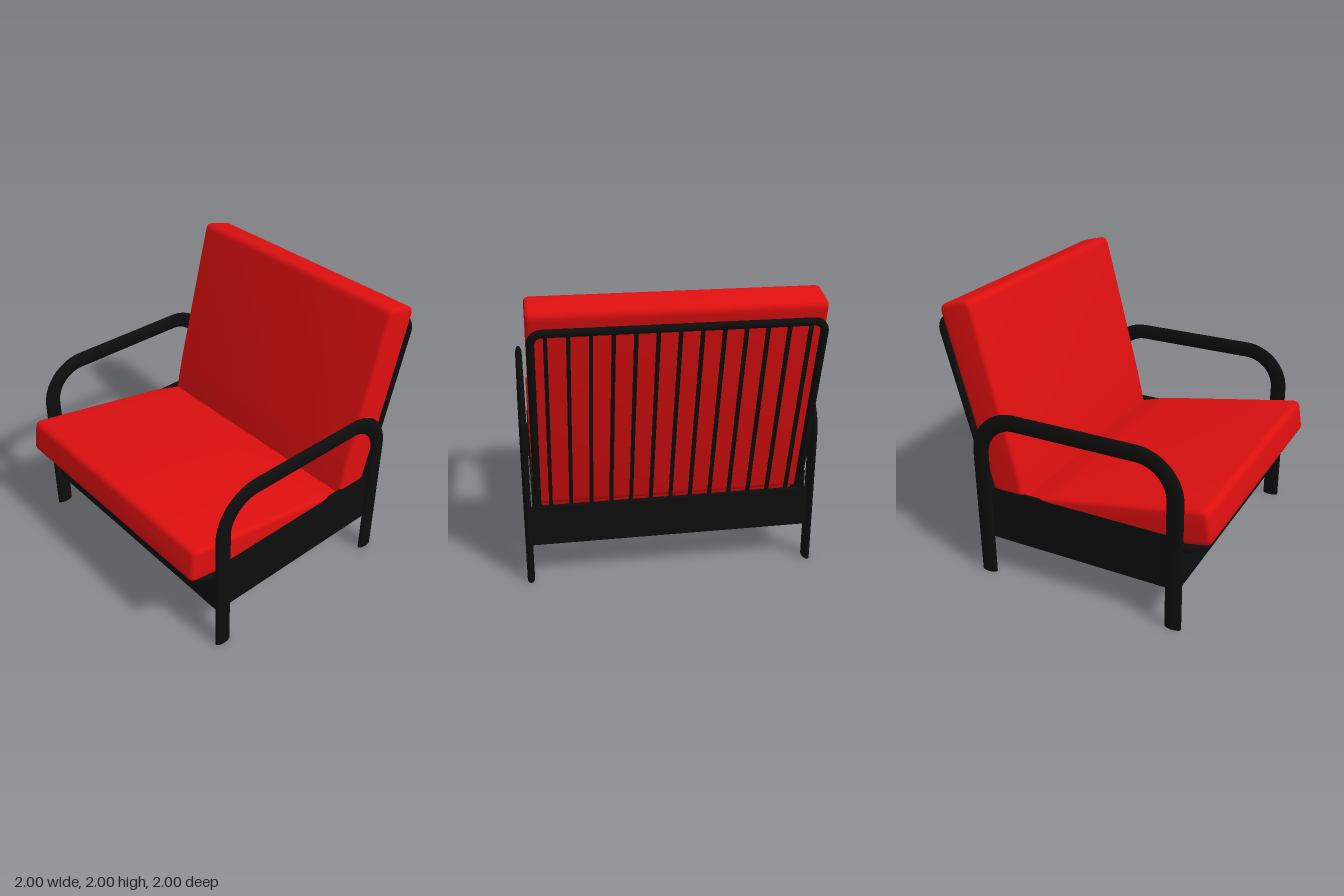
import * as THREE from 'three';
import { toCreasedNormals } from 'three/addons/utils/BufferGeometryUtils.js';

const red = new THREE.MeshStandardMaterial({ color: 0xdd0f0f });
const black = new THREE.MeshStandardMaterial({ color: 0x0d0d0d });
const V = (x, y, z) => new THREE.Vector3(x, y, z);

function add(parent, name, geometry, material, x = 0, y = 0, z = 0) {
  const mesh = new THREE.Mesh(geometry, material);
  mesh.name = name;
  mesh.position.set(x, y, z);
  parent.add(mesh);
  return mesh;
}

// Straight runs joined by round right-angle corners
function roundedPath(points, radius, closed) {
  const path = new THREE.CurvePath();
  const n = points.length;
  const toward = (p, q, d) => p.clone().add(q.clone().sub(p).setLength(d));
  let last = closed ? toward(points[0], points[1], radius) : points[0];
  const corners = closed ? [...points.keys()].map(i => (i + 1) % n) : [...points.keys()].slice(1, -1);
  for (const i of corners) {
    const p = points[i], before = points[(i + n - 1) % n], after = points[(i + 1) % n];
    const a = toward(p, before, radius), b = toward(p, after, radius);
    path.add(new THREE.LineCurve3(last, a));
    path.add(new THREE.CubicBezierCurve3(a, toward(p, before, radius * 0.448), toward(p, after, radius * 0.448), b));
    last = b;
  }
  if (!closed) path.add(new THREE.LineCurve3(last, points[n - 1]));
  return path;
}

// Cushion: side profile of [z, y] corners, softened and extruded across x
function cushionGeometry(profile, width, radius) {
  const pts = profile.map(([z, y]) => new THREE.Vector2(-z, y));
  const n = pts.length;
  const shape = new THREE.Shape();
  pts.forEach((p, i) => {
    const before = pts[(i + n - 1) % n], after = pts[(i + 1) % n];
    const a = p.clone().add(before.clone().sub(p).setLength(radius));
    const b = p.clone().add(after.clone().sub(p).setLength(radius));
    if (i === 0) shape.moveTo(a.x, a.y);
    else shape.lineTo(a.x, a.y);
    shape.quadraticCurveTo(p.x, p.y, b.x, b.y);
  });
  shape.closePath();
  const bevel = 0.03;
  const geometry = new THREE.ExtrudeGeometry(shape, {
    depth: width - 2 * bevel, bevelEnabled: true, bevelSize: bevel, bevelThickness: bevel,
    bevelOffset: -bevel, bevelSegments: 4, curveSegments: 6,
  });
  geometry.translate(0, 0, -(width / 2 - bevel));
  geometry.rotateY(Math.PI / 2);
  return toCreasedNormals(geometry, 0.6);
}

// Tubular frame with slats, hanging down local -y from its outer bar
function slattedPanel(name, length) {
  const panel = new THREE.Group();
  panel.name = name;
  const w = 0.905;
  const loop = roundedPath([V(-w, -length, 0), V(w, -length, 0), V(w, 0, 0), V(-w, 0, 0)], 0.07, true);
  add(panel, 'frameTube', new THREE.TubeGeometry(loop, 280, 0.026, 10, true), black);
  for (let i = -6; i <= 6; i++) {
    add(panel, 'slat', new THREE.BoxGeometry(0.024, length, 0.02), black, i * 0.136, -length / 2, 0);
  }
  return panel;
}

export function createModel() {
  const chair = new THREE.Group();
  chair.name = 'armchair';

  // Bent oval arms that also form the legs
  const armPath = roundedPath([V(0, 0, 0.77), V(0, 1.23, 0.77), V(0, 1.23, -0.68), V(0, 0, -0.68)], 0.28, false);
  const flatten = 0.025 / 0.06;
  for (const side of [-1, 1]) {
    const arm = new THREE.Group();
    arm.name = side > 0 ? 'leftArm' : 'rightArm';
    arm.position.x = side * 0.975;
    chair.add(arm);
    add(arm, 'armTube', new THREE.TubeGeometry(armPath, 180, 0.06, 20).scale(flatten, 1, 1), black);
    for (const z of [0.77, -0.68]) {
      add(arm, 'foot', new THREE.CircleGeometry(0.06, 20).rotateX(Math.PI / 2).scale(flatten, 1, 1), black, 0, 0, z);
    }
    add(chair, 'sideRail', new THREE.BoxGeometry(0.024, 0.4, 1.45), black, side * 0.925, 0.47, 0.045);
  }

  // Front and back rails between the legs
  add(chair, 'frontRail', new THREE.BoxGeometry(1.91, 0.28, 0.03), black, 0, 0.41, 0.77);
  add(chair, 'backRail', new THREE.BoxGeometry(1.91, 0.28, 0.03), black, 0, 0.41, -0.69);

  // Slatted supports
  const seatFrame = slattedPanel('seatFrame', 1.47);
  seatFrame.position.set(0, 0.608, 0.893);
  seatFrame.rotation.x = 1.393;
  const backFrame = slattedPanel('backFrame', 1.395);
  backFrame.position.set(0, 1.83, -0.973);
  backFrame.rotation.x = -0.256;
  chair.add(seatFrame, backFrame);

  // Cushions
  add(chair, 'seatCushion', cushionGeometry(
    [[0.965, 0.913], [1.005, 0.665], [-0.45, 0.405], [-0.48, 0.61], [-0.18, 0.702]], 1.86, 0.055), red);
  add(chair, 'backCushion', cushionGeometry(
    [[-0.722, 2.012], [-0.965, 1.945], [-0.59, 0.5], [-0.365, 0.56], [-0.43, 0.87]], 1.86, 0.055), red);
  return chair;
}
